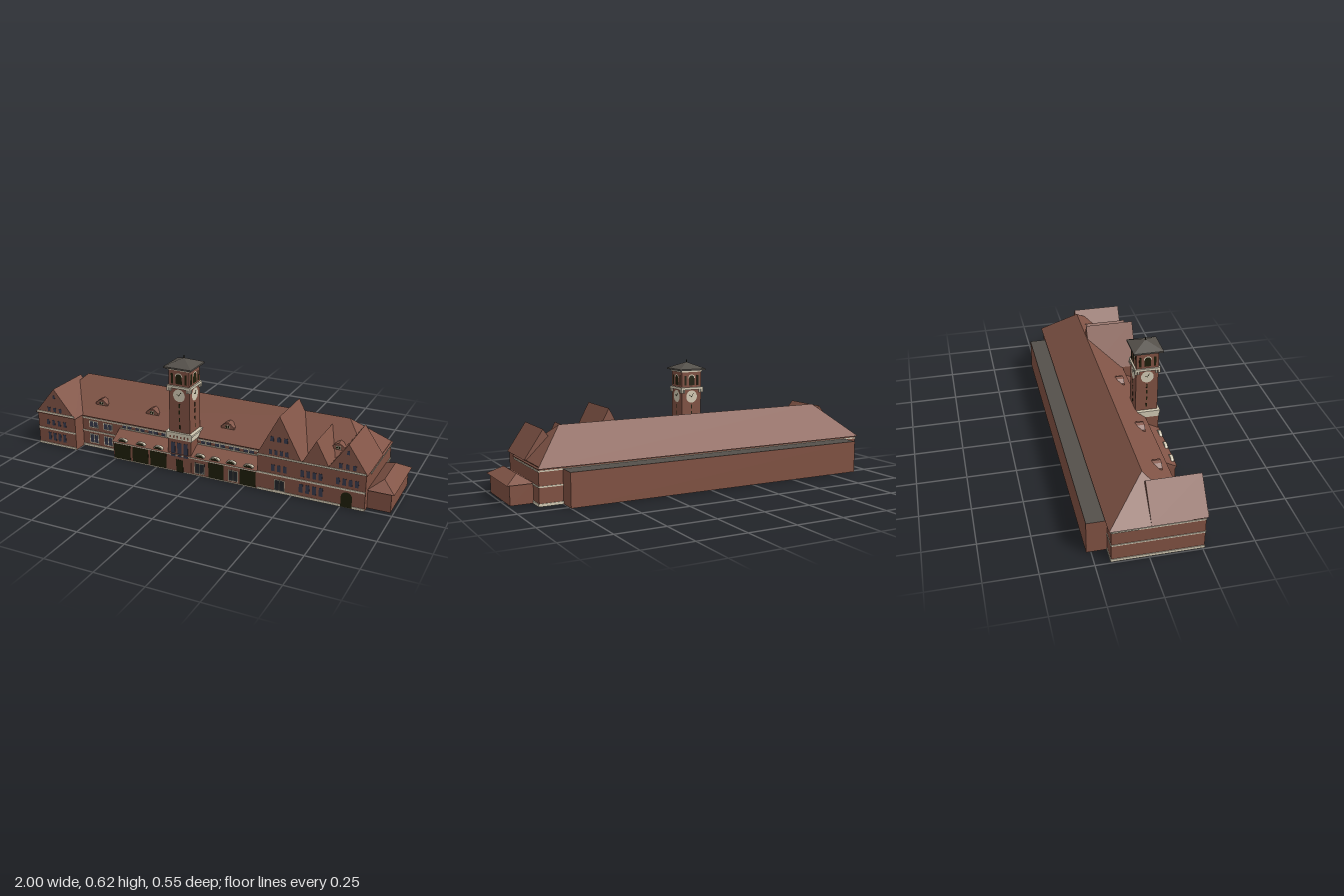
import * as THREE from 'three';

const mat = (name, color) => Object.assign(new THREE.MeshStandardMaterial({ color, side: THREE.DoubleSide }), { name });

export function createModel() {
  const brick = mat('brick', 0x805142);
  const tile = mat('roofTile', 0x825547);
  const stone = mat('stone', 0xd2c9b3);
  const slate = mat('slate', 0x54504a);
  const dark = mat('darkOpening', 0x1e1e0a);
  const glass = mat('glass', 0x363a4c);

  const model = new THREE.Group();
  model.name = 'station';
  let target = model;

  const add = (name, geo, m) => {
    const mesh = new THREE.Mesh(geo, m);
    mesh.name = name;
    target.add(mesh);
    return mesh;
  };
  const box = (name, m, x0, x1, y0, y1, z0, z1) =>
    add(name, new THREE.BoxGeometry(x1 - x0, y1 - y0, z1 - z0), m)
      .position.set((x0 + x1) / 2, (y0 + y1) / 2, (z0 + z1) / 2);
  // flat faces, each a convex polygon listed counter-clockwise
  const faces = (name, m, polys) => {
    const p = [];
    for (const f of polys) for (let i = 1; i < f.length - 1; i++) p.push(...f[0], ...f[i], ...f[i + 1]);
    const g = new THREE.BufferGeometry();
    g.setAttribute('position', new THREE.Float32BufferAttribute(p, 3));
    g.computeVertexNormals();
    return add(name, g, m);
  };
  // upright wall from plan point a to b, outside on the right of travel
  const wall = (name, a, b, y1, y0 = 0) => faces(name, brick,
    [[[a[0], y0, a[1]], [b[0], y0, b[1]], [b[0], y1, b[1]], [a[0], y1, a[1]]]]);
  // hipped roof with ridge end points r0, r1 along x or z
  const hip = (name, m, x0, x1, z0, z1, y, r0, r1, alongX) => {
    const a = [x0, y, z0], b = [x1, y, z0], c = [x1, y, z1], d = [x0, y, z1];
    return faces(name, m, alongX
      ? [[r0, r1, b, a], [r1, c, b], [r1, r0, d, c], [r0, a, d]]
      : [[r0, b, a], [r0, r1, c, b], [r1, d, c], [r1, r0, a, d]]);
  };
  const shapeOf = (pts) => new THREE.Shape(pts.map(([x, y]) => new THREE.Vector2(x, y)));
  const prism = (name, m, pts, z0, z1) => {
    const g = new THREE.ExtrudeGeometry(shapeOf(pts), { depth: z1 - z0, bevelEnabled: false });
    return add(name, g.translate(0, 0, z0), m);
  };
  const arch = (name, m, x, y, w, h, z) => {
    const s = new THREE.Shape();
    s.moveTo(-w / 2, 0); s.lineTo(w / 2, 0); s.lineTo(w / 2, h - w / 2);
    s.absarc(0, h - w / 2, w / 2, 0, Math.PI, false);
    add(name, new THREE.ShapeGeometry(s, 8), m).position.set(x, y, z);
  };
  const windows = (xs, y0, y1, w, z, m = glass) => xs.forEach((x) =>
    box('window', m, x - w / 2, x + w / 2, y0, y1, z + 0.0003, z + 0.0015));
  // upright bars with a head and a sill
  const frame = (x0, x1, y0, y1, z) => {
    const t = 0.004, mid = (x0 + x1) / 2;
    for (const x of [x0, mid - t / 2, x1 - t]) box('windowFrame', stone, x, x + t, y0, y1, z + 0.0003, z + 0.003);
    for (const y of [y0, y1 - t]) box('windowFrame', stone, x0, x1, y, y + t, z + 0.0003, z + 0.003);
  };

  // hollow outer walls
  const F = 0.26, M = 0.185, B = -0.175, L = -0.99, R = 0.87;
  wall('leftWall', [L, B], [L, F], 0.185);
  wall('leftWingFront', [L, F], [-0.75, F], 0.185);
  wall('leftWingSide', [-0.75, F], [-0.75, M], 0.185);
  wall('setbackFront', [-0.75, M], [-0.51, M], 0.185);
  wall('upperFront', [-0.51, M], [0.32, M], 0.185, 0.1);
  wall('arcadeEnd', [-0.51, M], [-0.51, F], 0.1);
  wall('rightWingSide', [0.32, M], [0.32, F], 0.192, 0.1);
  wall('rightWall', [R, F], [R, B], 0.19);
  wall('backWall', [R, B], [L, B], 0.185);

  // arcade and right wing front, with open windows
  const front = shapeOf([[-0.51, 0], [R, 0], [R, 0.192], [0.32, 0.192], [0.32, 0.1], [-0.51, 0.1]]);
  for (const [a, b] of [[-0.027, 0.027], [0.162, 0.216], [0.41, 0.465]]) {
    front.holes.push(new THREE.Path([[a, 0.012], [a, 0.072], [b, 0.072], [b, 0.012]]
      .map(([x, y]) => new THREE.Vector2(x, y))));
    frame(a, b, 0.012, 0.072, F);
  }
  add('arcadeFront', new THREE.ShapeGeometry(front), brick).position.z = F;
  for (const [a, b] of [[-0.505, -0.408], [-0.395, -0.3], [-0.288, -0.192], [0.05, 0.135], [0.225, 0.31]])
    box('arcadeBay', dark, a, b, 0.005, 0.088, F - 0.001, F + 0.001);
  faces('arcadeRoof', tile, [
    [[-0.515, 0.1, 0.268], [0.32, 0.1, 0.268], [0.32, 0.145, M], [-0.515, 0.145, M]],
    [[-0.515, 0.1, M], [-0.515, 0.1, 0.268], [-0.515, 0.145, M]]]);
  for (const x of [-0.455, -0.345, -0.24, 0, 0.085, 0.175, 0.27]) {
    const arc = (r) => Array.from({ length: 9 }, (_, i) =>
      [x + r * Math.cos(i * Math.PI / 8), 0.106 + r * 0.6 * Math.sin(i * Math.PI / 8)]);
    prism('arcadeEyebrow', stone, arc(0.027), 0.247, 0.262);
    add('eyebrowGlass', new THREE.ShapeGeometry(shapeOf(arc(0.022))), dark).position.z = 0.2635;
  }

  // stone bands
  for (const [y0, y1] of [[0, 0.014], [0.09, 0.097], [0.165, 0.172]]) {
    box('bandRight', stone, R + 0.0003, R + 0.004, y0, y1, B, M);
    box('bandLeft', stone, L - 0.004, L - 0.0003, y0, y1, B, F);
    box('bandBack', stone, L, R, y0, y1, B - 0.003, B - 0.0003);
    box('bandSetback', stone, -0.75, y0 > 0.16 ? 0.32 : -0.51, y0, y1, M + 0.0003, M + 0.004);
  }
  for (const [y0, y1] of [[0, 0.012], [0.091, 0.1], [0.19, 0.199]]) {
    const z = y0 > 0.15 ? 0.268 : F;
    box('bandLeftWing', stone, L, -0.75, y0, y1, z + 0.0003, z + 0.003);
    box('bandRightWing', stone, 0.32, R, y0, y1, z + 0.0003, z + 0.003);
    if (y0 < 0.15) box('bandArcade', stone, -0.51, 0.32, y0, y0 ? y1 : 0.005, F + 0.0003, F + 0.003);
  }
  box('upperSill', stone, -0.51, 0.32, 0.143, 0.148, M + 0.0003, M + 0.005);

  // roofs: main hip and cross gables
  hip('mainRoof', tile, -1, 0.877, -0.187, 0.192, 0.18, [-0.82, 0.35, 0.002], [0.7, 0.35, 0.002], true);
  for (const [x0, xm, x1, y0, y1] of [
    [-1, -0.872, -0.745, 0.183, 0.336], [0.315, 0.433, 0.552, 0.19, 0.411],
    [0.55, 0.622, 0.692, 0.19, 0.32], [0.68, 0.78, 0.878, 0.19, 0.333]])
    prism('crossGable', tile, [[x0, y0], [x1, y0], [xm, y1]], 0.005, 0.268);

  // roof dormers
  for (const x of [-0.655, -0.34, 0.1, 0.69]) {
    prism('dormer', tile, [[x - 0.037, 0.235], [x + 0.037, 0.235], [x + 0.036, 0.245],
      [x + 0.017, 0.262], [x, 0.268], [x - 0.017, 0.262], [x - 0.036, 0.245]], 0.08, 0.138);
    windows([x], 0.239, 0.254, 0.024, 0.138, stone);
    windows([x - 0.006, x + 0.006], 0.241, 0.252, 0.009, 0.14, dark);
  }

  // window rows
  const row = (c, n, step) => Array.from({ length: n }, (_, i) => c + (i - (n - 1) / 2) * step);
  const G = 0.268;
  windows(row(-0.872, 3, 0.036), 0.205, 0.228, 0.017, G);
  windows([-0.872], 0.282, 0.3, 0.013, G);
  windows(row(-0.872, 4, 0.036), 0.12, 0.15, 0.018, F);
  windows(row(-0.872, 4, 0.032), 0.03, 0.075, 0.018, F);
  windows(row(0.433, 3, 0.036), 0.277, 0.302, 0.018, G);
  windows(row(0.433, 4, 0.028), 0.207, 0.232, 0.016, G);
  windows(row(0.78, 3, 0.034), 0.205, 0.23, 0.017, G);
  windows([0.78], 0.28, 0.3, 0.013, G);
  for (const [c, n] of [[0.433, 3], [0.6, 4], [0.78, 4]]) windows(row(c, n, 0.031), 0.115, 0.15, 0.018, F);
  windows(row(0.6, 4, 0.034), 0.03, 0.075, 0.02, F);
  arch('wingDoor', dark, 0.78, 0.003, 0.056, 0.08, F + 0.004);
  for (const x of [-0.68, -0.59]) for (const [y0, y1] of [[0.025, 0.078], [0.115, 0.155]]) {
    windows([x - 0.014, x + 0.014], y0, y1, 0.023, M);
    frame(x - 0.028, x + 0.028, y0, y1, M);
  }
  for (const x of [-0.47, -0.39, -0.31, -0.23, 0, 0.08, 0.16, 0.24]) {
    windows([x], 0.148, 0.164, 0.056, M);
    box('windowMullion', stone, x - 0.003, x + 0.003, 0.148, 0.164, M + 0.0003, M + 0.004);
  }

  // long rear hall with flat roof, running into the main block and open below
  const S0 = -0.272, S1 = 0.07;
  wall('hallBack', [0.75, S0], [-0.91, S0], 0.17);
  wall('hallRight', [0.75, S1], [0.75, S0], 0.17);
  wall('hallLeft', [-0.91, S0], [-0.91, S1], 0.17);
  wall('hallFront', [-0.91, S1], [0.75, S1], 0.17);
  faces('hallRoof', slate, [[[-0.91, 0.17, S1], [0.75, 0.17, S1], [0.75, 0.17, S0], [-0.91, 0.17, S0]]]);

  // side annex
  wall('annexFront', [R, 0.22], [0.985, 0.22], 0.1);
  wall('annexSide', [0.985, 0.22], [0.985, -0.095], 0.1);
  wall('annexBack', [0.985, -0.095], [R, -0.095], 0.1);
  hip('annexRoof', tile, 0.867, 1, -0.105, 0.23, 0.098, [0.932, 0.14, -0.037], [0.932, 0.14, 0.163], false);

  // tower base with doorway, tall windows and balcony
  const tx = -0.113, tz = 0.197;
  box('towerBase', brick, tx - 0.066, tx + 0.066, 0.1, 0.185, 0.14, 0.262);
  box('towerBaseFront', brick, tx - 0.066, tx + 0.066, 0, 0.1, F + 0.0005, 0.262);
  windows(row(tx, 3, 0.036), 0.085, 0.165, 0.024, 0.262);
  box('towerDoor', dark, tx - 0.02, tx + 0.02, 0, 0.07, F - 0.001, 0.2635);
  box('balcony', stone, tx - 0.072, tx + 0.072, 0.183, 0.213, 0.14, 0.264);
  box('balconyRail', stone, tx - 0.077, tx + 0.077, 0.211, 0.221, 0.14, 0.267);
  windows(row(tx, 6, 0.02), 0.19, 0.202, 0.008, 0.264, brick);

  // tower shaft and crown, centred on its own axis
  const tower = new THREE.Group();
  tower.name = 'tower';
  tower.position.set(tx, 0, tz);
  model.add(tower);
  target = tower;
  const h = 0.058;
  const slab = (name, m, r, y0, y1) => box(name, m, -r, r, y0, y1, -r, r);
  slab('towerShaft', brick, h, 0.17, 0.56);
  slab('towerBelt', stone, 0.066, 0.459, 0.472);
  slab('towerCornice', stone, 0.062, 0.554, 0.564);
  slab('towerEave', slate, 0.077, 0.563, 0.571);
  hip('towerRoof', slate, -0.077, 0.077, -0.077, 0.077, 0.571, [0, 0.605, 0], [0, 0.605, 0], true);
  box('finial', dark, -0.002, 0.002, 0.6, 0.617, -0.002, 0.002);

  // the four tower faces
  for (let i = 0; i < 4; i++) {
    target = new THREE.Group();
    target.name = 'towerFace';
    target.rotation.y = i * Math.PI / 2;
    tower.add(target);
    add('clockFace', new THREE.CircleGeometry(0.033, 28), stone).position.set(0, 0.421, h + 0.0015);
    for (const [len, a] of [[0.022, -0.5], [0.015, 1.0]]) {
      const hand = add('clockHand', new THREE.BoxGeometry(0.0025, len, 0.001).translate(0, len / 2, 0), dark);
      hand.position.set(0, 0.42, h + 0.0025);
      hand.rotation.z = a;
    }
    arch('belfryArch', dark, 0, 0.482, 0.034, 0.055, h + 0.001);
    add('archTrim', new THREE.RingGeometry(0.016, 0.021, 16, 1, 0, Math.PI), stone).position.set(0, 0.52, h + 0.002);
    windows([-0.038, 0.038], 0.482, 0.535, 0.012, h, dark);
    for (const x of [-0.062, -0.047, 0.047, 0.062])
      box('bracket', stone, x - 0.004, x + 0.004, 0.442, 0.46, h - 0.002, h + 0.008);
    for (const y of [0.24, 0.28, 0.32, 0.355]) windows([0], y, y + 0.022, 0.007, h, dark);
  }
  return model;
}
